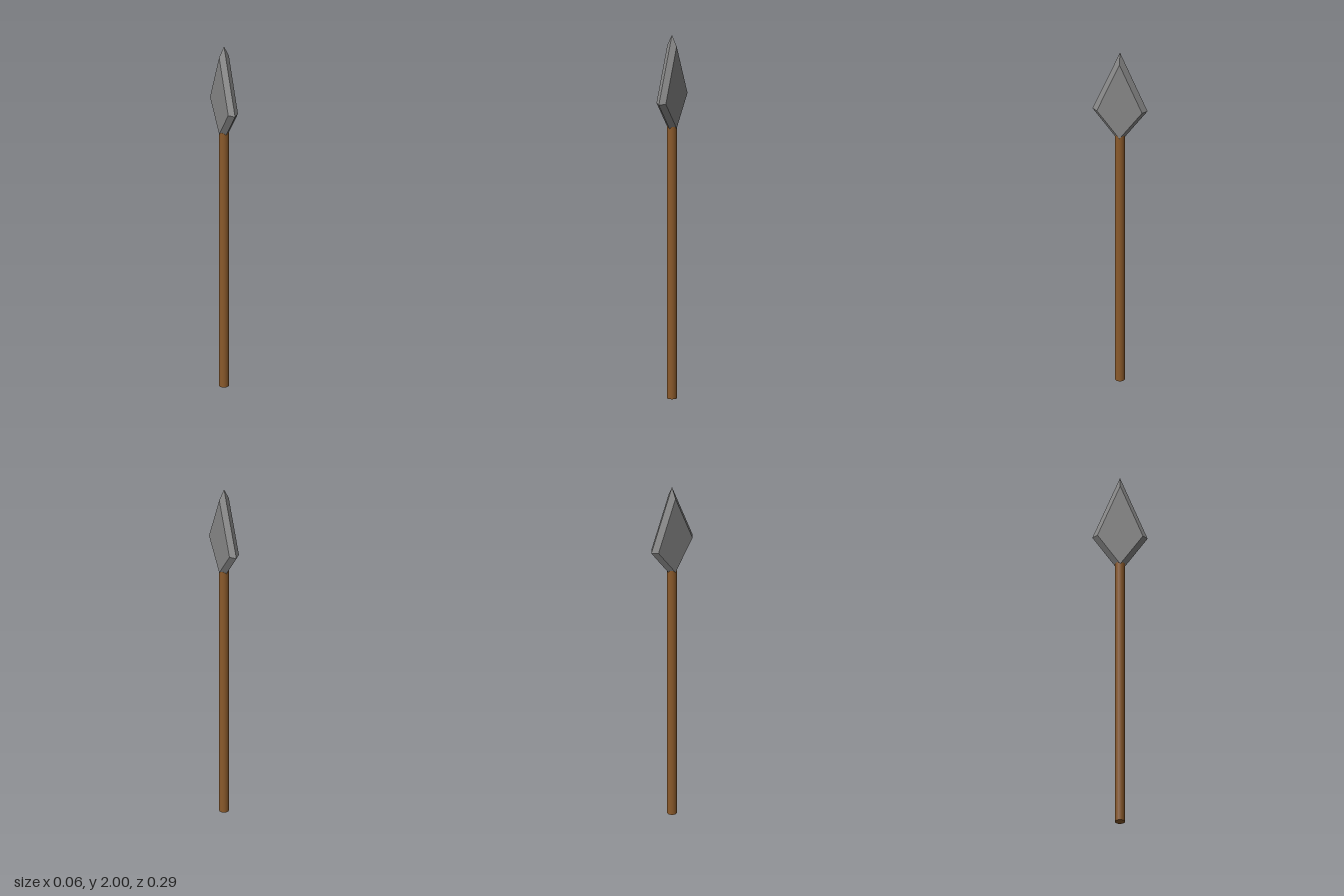
import * as THREE from 'three';
import { ConvexGeometry } from 'three/addons/geometries/ConvexGeometry.js';

export function createModel() {
  const model = new THREE.Group();
  model.name = 'spear';

  // Round wooden shaft, its top end buried in the blade
  const shaft = new THREE.Mesh(
    new THREE.CylinderGeometry(0.027, 0.027, 1.5, 20),
    new THREE.MeshStandardMaterial({ color: 0x8b5a2b })
  );
  shaft.name = 'shaft';
  shaft.position.y = 0.75;
  model.add(shaft);

  // Kite-shaped blade: full outline in the middle plane, shrunk outline on both
  // flat faces, so an even bevel runs around the edge
  const outline = [[2, 0], [1.65, 0.146], [1.45, 0], [1.65, -0.146]];
  const centreY = 1.663;
  const layers = [[-0.028, 0.822], [0, 1], [0.028, 0.822]];
  const points = [];
  for (const [x, scale] of layers) {
    for (const [y, z] of outline) {
      points.push(new THREE.Vector3(x, centreY + (y - centreY) * scale, z * scale));
    }
  }
  const blade = new THREE.Mesh(
    new ConvexGeometry(points),
    new THREE.MeshStandardMaterial({ color: 0x888888, flatShading: true })
  );
  blade.name = 'blade';
  model.add(blade);

  return model;
}
